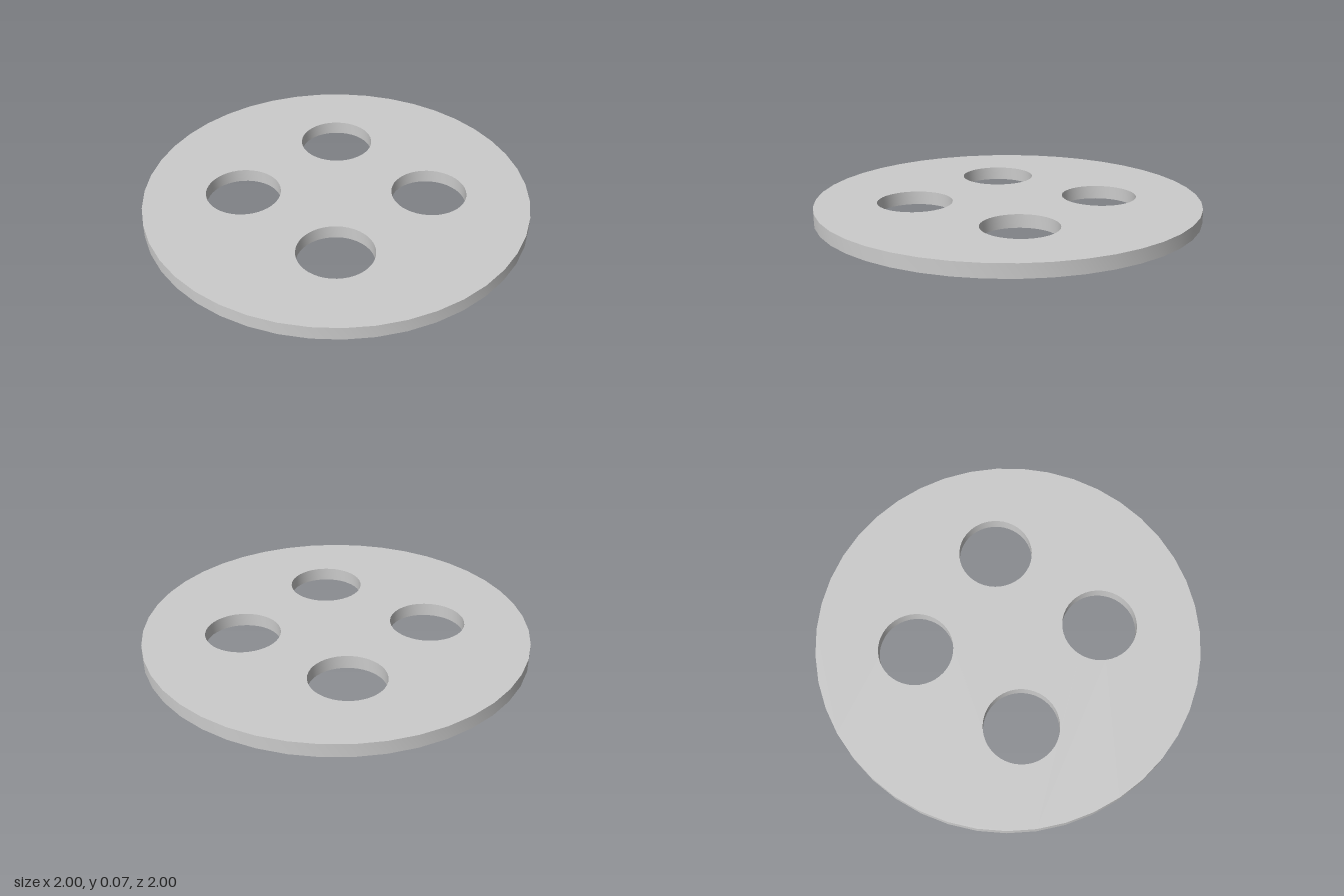
import * as THREE from 'three';
import { toCreasedNormals } from 'three/addons/utils/BufferGeometryUtils.js';

const SEGMENTS = 43;
const THICKNESS = 0.07;
const HOLE_RADIUS = 0.195;
const HOLE_DISTANCE = 0.483;

// Points of a circle in the plane of the disc
function circle(cx, cy, radius) {
  return Array.from({ length: SEGMENTS }, (_, i) => {
    const a = (i / SEGMENTS) * Math.PI * 2 + Math.PI;
    return new THREE.Vector2(cx + radius * Math.cos(a), cy + radius * Math.sin(a));
  });
}

export function createModel() {
  const group = new THREE.Group();
  group.name = 'perforatedDisc';

  // Disc outline with four round holes, one on each axis direction
  const outline = new THREE.Shape(circle(0, 0, 1));
  for (let i = 0; i < 4; i++) {
    const a = (i * Math.PI) / 2;
    outline.holes.push(new THREE.Path(
      circle(HOLE_DISTANCE * Math.cos(a), HOLE_DISTANCE * Math.sin(a), HOLE_RADIUS)));
  }

  // Flat plate with sharp rims and smooth round walls
  let geometry = new THREE.ExtrudeGeometry(outline, { depth: THICKNESS, bevelEnabled: false });
  geometry.rotateX(-Math.PI / 2);
  geometry = toCreasedNormals(geometry, Math.PI / 6);

  const disc = new THREE.Mesh(geometry, new THREE.MeshStandardMaterial({ color: 0xcccccc }));
  disc.name = 'disc';
  group.add(disc);
  return group;
}
